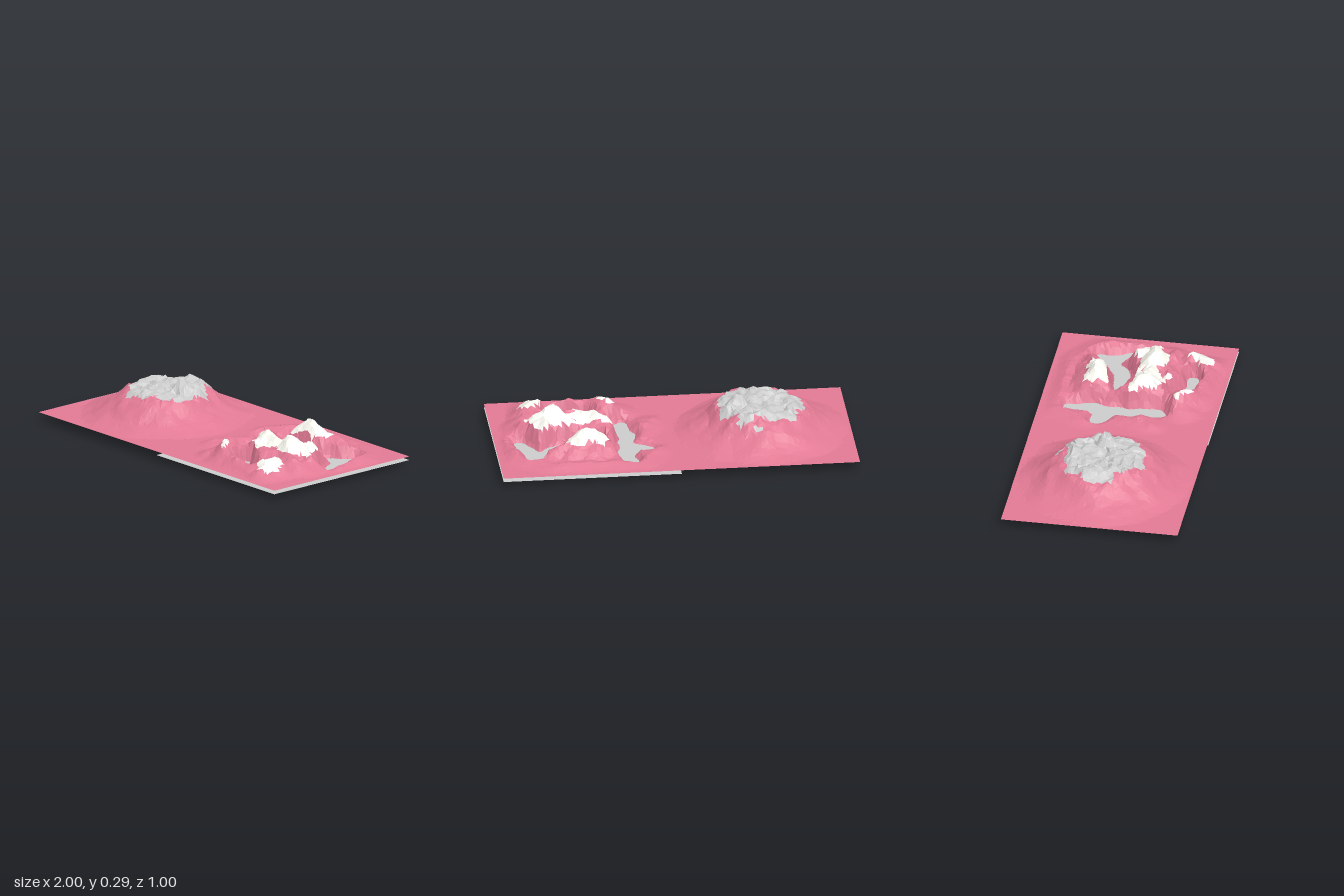
import * as THREE from 'three';

const BASE = 0.051, WATER = 0.03, N = 50;
const material = (color) => new THREE.MeshStandardMaterial({ color, flatShading: true, side: THREE.DoubleSide });
const { clamp, lerp, smoothstep } = THREE.MathUtils;

// Repeatable hash in 0..1 and value noise in -1..1
function hash(i, j) {
  const s = Math.sin(i * 127.1 + j * 311.7) * 43758.5453;
  return s - Math.floor(s);
}
function noise(x, z, freq) {
  const u = x * freq + 40, v = z * freq + 40;
  const i = Math.floor(u), j = Math.floor(v), a = u - i, b = v - j;
  return 2 * lerp(lerp(hash(i, j), hash(i + 1, j), a), lerp(hash(i, j + 1), hash(i + 1, j + 1), a), b) - 1;
}

// Visit each segment of paths made of [x, z, value]; gives distance and value there
function along(paths, x, z, visit) {
  for (const p of paths) {
    for (let k = 0; k < p.length - 1; k++) {
      const [ax, az, av] = p[k], [bx, bz, bv] = p[k + 1];
      const dx = bx - ax, dz = bz - az;
      const t = clamp(((x - ax) * dx + (z - az) * dz) / (dx * dx + dz * dz), 0, 1);
      visit(Math.hypot(x - ax - t * dx, z - az - t * dz), lerp(av, bv, t));
    }
  }
}

// Faceted tile from a jittered grid, split into lower slopes and caps
function terrain(name, x0, height, isCap, capName, capColor) {
  const point = (i, j) => {
    const inner = i > 0 && j > 0 && i < N && j < N ? 0.8 / N : 0;
    const x = x0 + i / N + (hash(i, j) - 0.5) * inner;
    const z = -0.5 + j / N + (hash(j + 90, i) - 0.5) * inner;
    return [x, inner ? height(x, z) : BASE, z];
  };
  const slopes = [], caps = [];
  const addFace = (a, b, c) => {
    const mid = a.map((v, k) => (v + b[k] + c[k]) / 3);
    (isCap(...mid) ? caps : slopes).push(...a, ...b, ...c);
  };
  for (let i = 0; i < N; i++) {
    for (let j = 0; j < N; j++) {
      const a = point(i, j), b = point(i + 1, j), c = point(i + 1, j + 1), d = point(i, j + 1);
      if (hash(i + 7, j + 3) < 0.5) { addFace(a, d, c); addFace(a, c, b); }
      else { addFace(a, d, b); addFace(b, d, c); }
    }
  }
  const group = new THREE.Group();
  group.name = name;
  for (const [label, data, color] of [['slopes', slopes, 0xe27a94], [capName, caps, capColor]]) {
    const geometry = new THREE.BufferGeometry();
    geometry.setAttribute('position', new THREE.Float32BufferAttribute(data, 3));
    geometry.computeVertexNormals();
    const mesh = new THREE.Mesh(geometry, material(color));
    mesh.name = label;
    group.add(mesh);
  }
  return group;
}

// Plateau hill: radial profile [radius, height] with a rugged top
const HILL = [[0, 0.222], [0.19, 0.225], [0.25, 0.19], [0.3, 0.147], [0.36, 0.102], [0.42, 0.072], [0.48, BASE], [2, BASE]];
function hillHeight(x, z) {
  const r0 = Math.hypot(x + 0.495, z);
  const r = Math.max(0, r0 + 0.022 * noise(x, z, 10) * smoothstep(r0, 0.05, 0.2));
  const k = HILL.findIndex((p, n) => n > 0 && r <= p[0]);
  const [ra, ya] = HILL[k - 1], [rb, yb] = HILL[k];
  let y = lerp(ya, yb, (r - ra) / (rb - ra));
  const top = 1 - smoothstep(r, 0.2, 0.28);
  y += top * (0.024 * noise(x, z, 34) + 0.015 * noise(x, z, 11) + 0.04 * (x + 0.5) - 0.04 * z);
  y += (1 - top) * 0.016 * noise(x, z, 20) * (1 - smoothstep(r, 0.27, 0.42));
  // Summit spike
  const spike = 1 - Math.hypot(x + 0.37, z + 0.01) / 0.06;
  return clamp(spike > 0 ? Math.max(y, lerp(y, 0.315, spike)) : y, BASE, 0.3);
}

// Ridge lines [x, z, height above ground]
const RIDGES = [
  [[0.37, -0.27, 0.04], [0.45, -0.22, 0.125], [0.53, -0.22, 0.13], [0.61, -0.26, 0.08], [0.7, -0.29, 0.05]],
  [[0.33, -0.07, 0.05], [0.36, 0, 0.11], [0.44, 0.06, 0.12], [0.53, 0.08, 0.115], [0.6, 0.06, 0.11], [0.66, 0.1, 0.145], [0.75, 0.05, 0.115]],
  [[0.71, -0.13, 0.07], [0.72, 0.06, 0.1]],
  [[0.42, 0.14, 0.07], [0.55, 0.18, 0.07], [0.73, 0.17, 0.08], [0.82, 0.18, 0.05]],
  [[0.28, 0.3, 0.06], [0.34, 0.27, 0.105], [0.4, 0.35, 0.06], [0.55, 0.38, 0.045], [0.68, 0.37, 0.055], [0.76, 0.3, 0.095], [0.77, 0.42, 0.05]],
  [[0.8, 0.05, 0.07], [0.84, 0.15, 0.045]],
  [[0.1, 0.15, 0.03], [0.15, 0.05, 0.025]],
  [[0.1, -0.22, 0.025], [0.2, -0.38, 0.025], [0.4, -0.4, 0.025], [0.7, -0.39, 0.03], [0.9, -0.25, 0.03], [0.93, -0.05, 0.02]],
];
// Lake beds [x, z, half width]
const LAKES = [
  [[0.26, -0.33, 0.045], [0.28, -0.22, 0.05], [0.27, -0.13, 0.065], [0.26, 0, 0.055], [0.27, 0.1, 0.06], [0.28, 0.17, 0.05]],
  [[0.15, -0.16, 0.045], [0.25, -0.11, 0.06]],
  [[0.41, -0.09, 0.022], [0.49, -0.1, 0.035], [0.61, -0.08, 0.055], [0.68, -0.13, 0.055], [0.77, -0.18, 0.055], [0.8, -0.25, 0.045]],
  [[0.79, -0.18, 0.055], [0.86, -0.02, 0.045]],
  [[0.44, 0.21, 0.03], [0.48, 0.27, 0.042], [0.56, 0.31, 0.037], [0.66, 0.3, 0.04]],
];
function lakeHeight(x, z) {
  let rise = 0, lake = 9;
  along(RIDGES, x, z, (d, h) => { rise = Math.max(rise, h * Math.max(0, 1 - d / (0.09 + h * 0.6)) ** 1.2); });
  along(LAKES, x, z, (d, w) => { lake = Math.min(lake, d / w); });
  lake += 0.18 * noise(x, z, 20);
  const apron = 1 - smoothstep(Math.hypot(x - 0.53, z), 0.3, 0.48);
  const ground = BASE + apron * (0.014 + 0.012 * noise(x, z, 24) + 0.009 * noise(x, z, 11));
  const bed = 0.004 + 0.01 * noise(x, z, 20);
  const crag = rise * (1 + 0.2 * noise(x, z, 26));
  const y = lerp(bed, ground, smoothstep(lake, 0.1, 1.9)) + crag * smoothstep(lake, 0.75, 1.6);
  const edge = smoothstep(0.5 - Math.max(Math.abs(x - 0.5), Math.abs(z)), 0, 0.08);
  return Math.max(0, lerp(BASE, y, edge));
}

export function createModel() {
  const model = new THREE.Group();
  model.name = 'landscape';

  model.add(terrain('plateauHill', -1, hillHeight,
    (x, y, z) => y > 0.155 && Math.hypot(x + 0.49, z + 0.02) < 0.235 + 0.05 * noise(x, z, 18), 'rockyTop', 0xcccccc));

  // Snow lies lower on the small front right peak
  model.add(terrain('lakeMountains', 0, lakeHeight,
    (x, y, z) => y + 0.018 * noise(x, z, 22) > 0.137 - 0.045 * (1 - smoothstep(Math.hypot(x - 0.77, z - 0.35), 0.05, 0.1)),
    'snowCaps', 0xfffff6));

  // Flat sheet of water under the mountain tile
  const water = new THREE.Mesh(new THREE.PlaneGeometry(1, 1).rotateX(-Math.PI / 2), material(0xcccccc));
  water.position.set(0.5, WATER, 0);
  water.name = 'lakeWater';
  model.add(water);

  return model;
}
